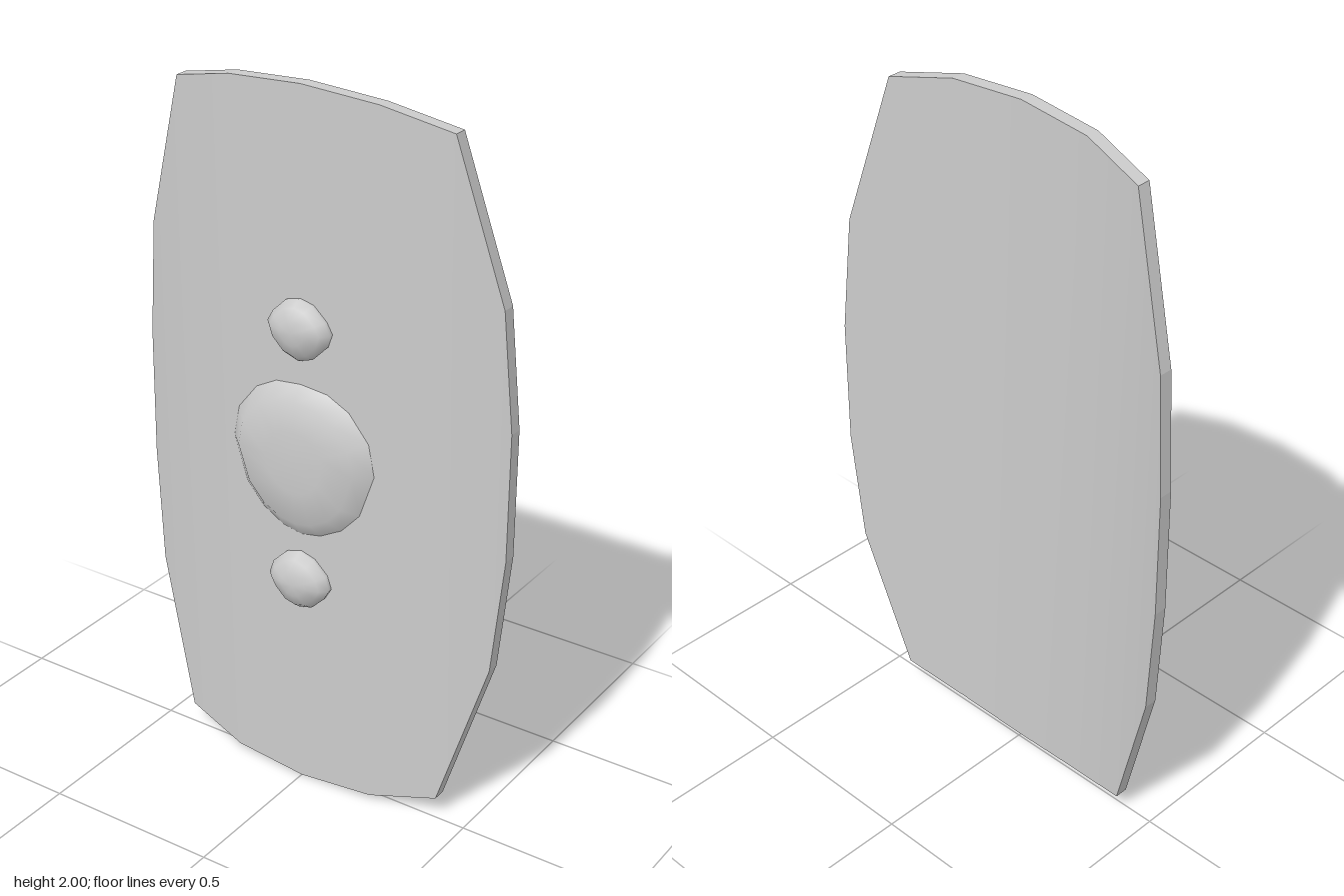
import * as THREE from 'three';

// plate columns: x, half height, front z
const half = [[0, 1, 0.045], [0.22, 0.985, 0.036], [0.41, 0.94, 0], [0.535, 0.51, -0.043], [0.5625, 0.18, -0.055]];
const columns = [...half.slice(1).reverse().map(([x, h, z]) => [-x, h, z]), ...half];
const THICK = 0.038, MID = 1;

// front z of the curved plate at a given x
function plateZ(x) {
  const a = Math.abs(x);
  for (let i = 1; i < half.length; i++) {
    const [x0, , z0] = half[i - 1], [x1, , z1] = half[i];
    if (a <= x1) return z0 + (z1 - z0) * (a - x0) / (x1 - x0);
  }
  return half[half.length - 1][2];
}

function build(positions, indices) {
  const g = new THREE.BufferGeometry();
  g.setAttribute('position', new THREE.Float32BufferAttribute(positions, 3));
  g.setIndex(indices);
  g.computeVertexNormals();
  return g;
}

// one curved face, smooth across its columns
function faceGeometry(offset, back) {
  const pos = [], idx = [];
  columns.forEach(([x, h, z], i) => {
    pos.push(x, MID - h, z + offset, x, MID + h, z + offset);
    if (i === 0) return;
    const a = 2 * i - 2, b = a + 1, c = a + 2, d = a + 3;
    if (back) idx.push(a, b, c, c, b, d);
    else idx.push(a, c, b, c, d, b);
  });
  return build(pos, idx);
}

// flat-sided rim between the front and back faces
function rimGeometry() {
  const loop = [
    ...columns.map(([x, h, z]) => [x, MID - h, z]),
    ...columns.slice().reverse().map(([x, h, z]) => [x, MID + h, z]),
  ];
  const pos = [], idx = [];
  loop.forEach((p, i) => {
    const q = loop[(i + 1) % loop.length], n = 4 * i;
    pos.push(...p, ...q, p[0], p[1], p[2] - THICK, q[0], q[1], q[2] - THICK);
    idx.push(n, n + 2, n + 1, n + 1, n + 2, n + 3);
  });
  return build(pos, idx);
}

// raised dome: a half outline (top to bottom) scaled through rings [scale, z], then an apex
function bossGeometry(outline, rings, apexZ, cy, flip = 1) {
  const right = flip > 0 ? outline : outline.map(([x, y]) => [x, -y]).reverse();
  const loop = [...right, ...right.slice(1, -1).reverse().map(([x, y]) => [-x, y])];
  const n = loop.length, pos = [], idx = [];
  for (const [s, z] of rings)
    for (const [x, y] of loop) pos.push(x * s, cy + y * s, z ?? plateZ(x) - 0.002);
  pos.push(0, cy, apexZ);
  const apex = n * rings.length;
  for (let r = 0; r < rings.length; r++)
    for (let i = 0; i < n; i++) {
      const j = (i + 1) % n, a = r * n + i, b = r * n + j;
      if (r === rings.length - 1) idx.push(a, apex, b);
      else idx.push(a, a + n, b, b, a + n, b + n);
    }
  return build(pos, idx);
}

export function createModel() {
  const steel = new THREE.MeshStandardMaterial({ color: 0xcccccc });
  steel.name = 'pale grey';
  const model = new THREE.Group();
  model.name = 'shield';
  const add = (name, geometry) => {
    const mesh = new THREE.Mesh(geometry, steel);
    mesh.name = name;
    model.add(mesh);
  };

  // curved plate
  add('plateFront', faceGeometry(0, false));
  add('plateBack', faceGeometry(-THICK, true));
  add('plateRim', rimGeometry());

  // large central boss
  const big = [[0, 0.21], [0.08, 0.2], [0.145, 0.165], [0.205, 0.09], [0.223, 0],
    [0.18, -0.125], [0.125, -0.185], [0.06, -0.22], [0, -0.23]];
  add('centreBoss', bossGeometry(big, [[1], [0.8, 0.076], [0.4, 0.084]], 0.09, MID));

  // small bosses, mirrored above and below
  const small = [[0, 0.083], [0.04, 0.073], [0.08, 0.035], [0.098, 0.003],
    [0.085, -0.035], [0.045, -0.075], [0, -0.09]];
  for (const s of [1, -1])
    add(s > 0 ? 'upperBoss' : 'lowerBoss',
      bossGeometry(small, [[0.96], [0.98, 0.055], [0.78, 0.076], [0.4, 0.088]], 0.092, MID + s * 0.365, s));
  return model;
}
